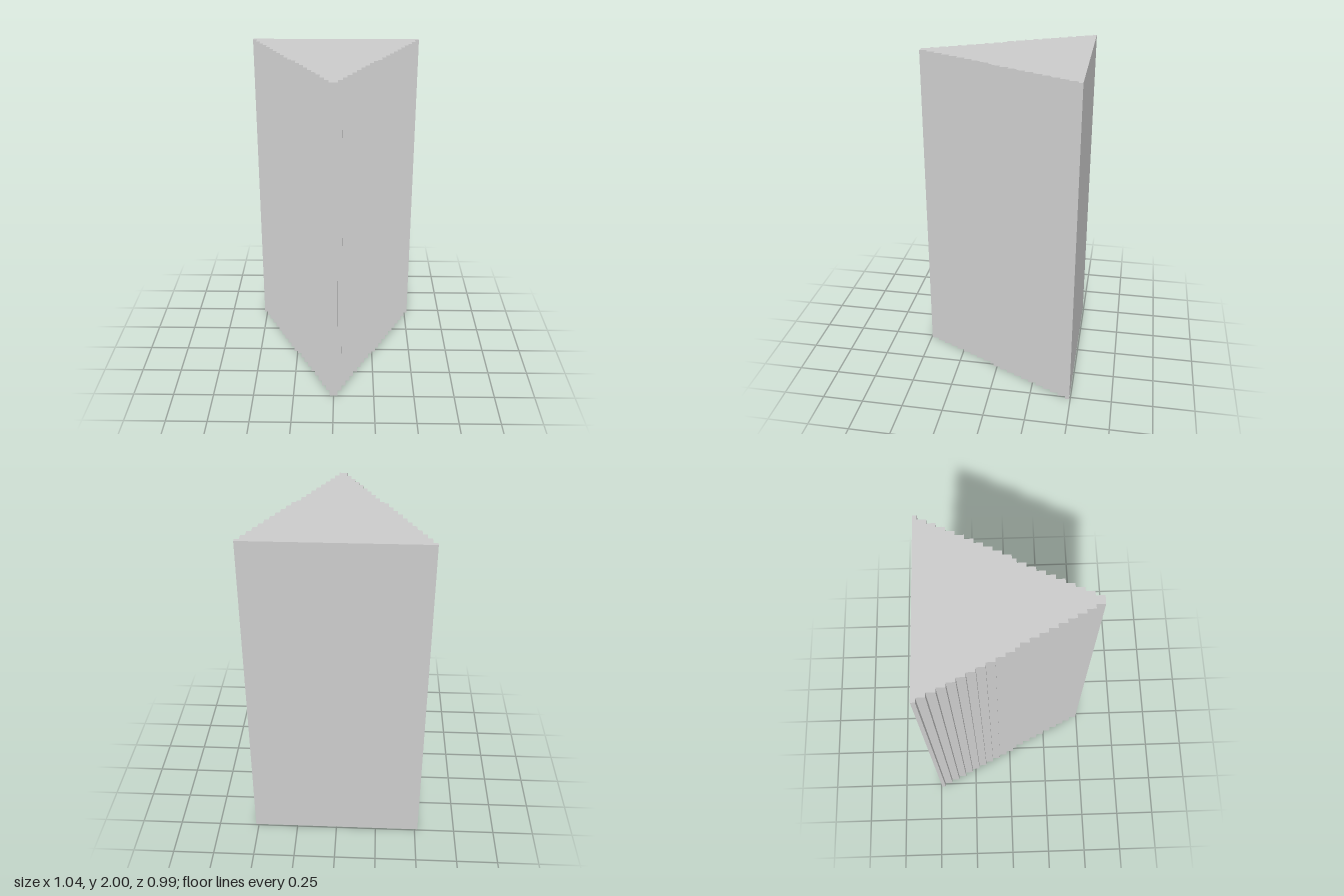
import * as THREE from 'three';

const UNIT = 2 / 81; // edge of one grid cell
const STEPS = 21;    // ledges on each flank

// Front edge of each ledge in cells: two cells deep, except the short middle and last ones
function ledgeFront(i) {
  return i < 10 ? 20 - 2 * i : 21 - 2 * i;
}

export function createModel() {
  const group = new THREE.Group();
  group.name = 'steppedPrism';

  // Left flank from the front tip to the back, as [x, z]
  const flank = [];
  for (let i = 0; i < STEPS; i++) {
    const x = (i + 1) * UNIT;
    const zBack = i === STEPS - 1 ? -20 : ledgeFront(i + 1);
    flank.push([x, ledgeFront(i) * UNIT], [x, zBack * UNIT]);
  }

  // Closed outline: left flank, then its mirror back to the tip
  const mirrored = flank.map(([x, z]) => [-x, z]).reverse();
  const outline = [...flank, ...mirrored].map(([x, z]) => new THREE.Vector2(x, -z));

  // Upright column with stepped sides and a flat back
  const geometry = new THREE.ExtrudeGeometry(new THREE.Shape(outline), {
    depth: 2,
    bevelEnabled: false,
  });
  geometry.rotateX(-Math.PI / 2);

  const column = new THREE.Mesh(
    geometry,
    new THREE.MeshStandardMaterial({ color: 0xcccccc, flatShading: true })
  );
  column.name = 'column';
  group.add(column);
  return group;
}
